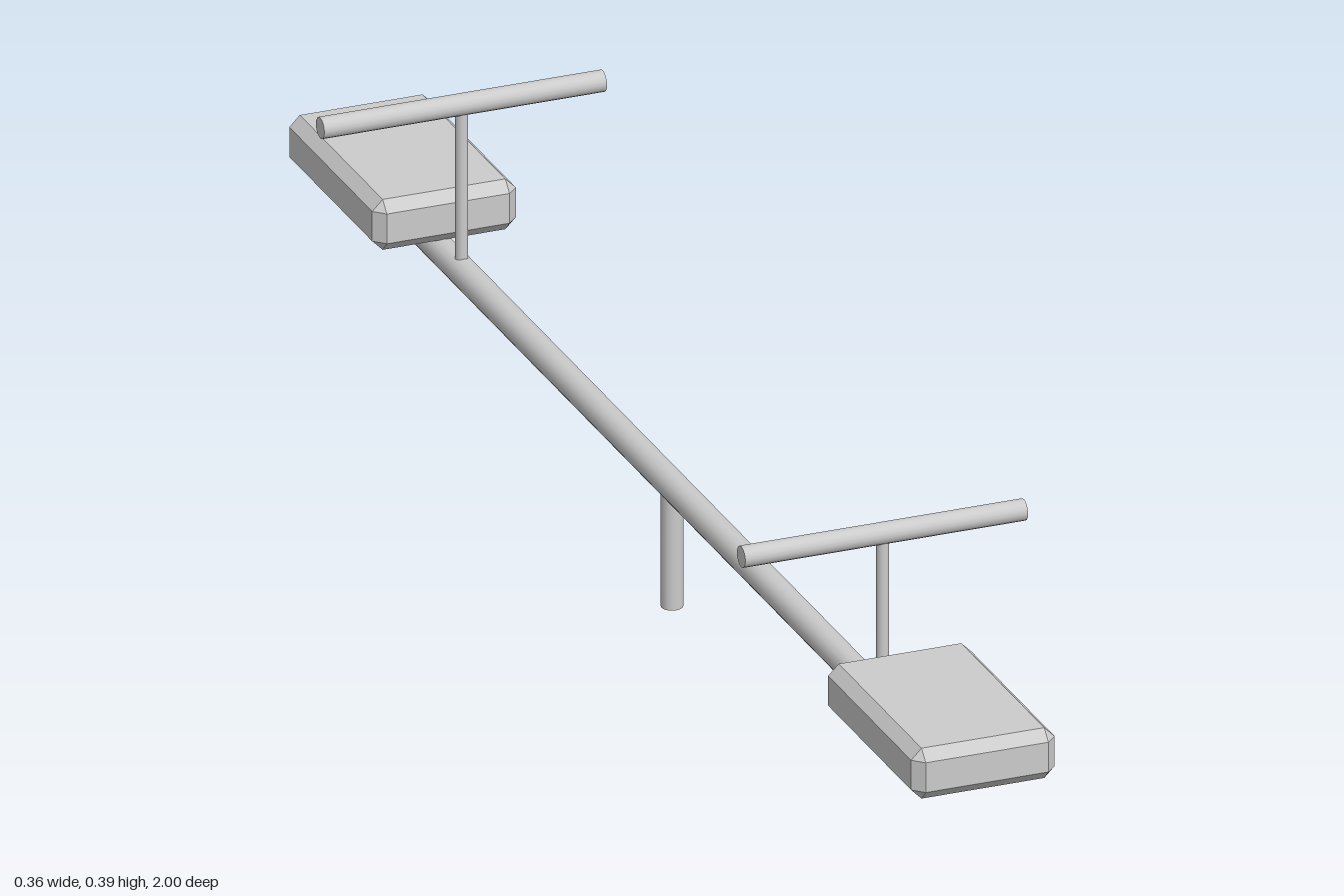
import * as THREE from 'three';
import { ConvexGeometry } from 'three/addons/geometries/ConvexGeometry.js';

const material = new THREE.MeshStandardMaterial({ color: 0xcccccc });

function addMesh(parent, name, geometry, x, y, z) {
  const mesh = new THREE.Mesh(geometry, material);
  mesh.name = name;
  mesh.position.set(x, y, z);
  parent.add(mesh);
  return mesh;
}

const rod = (radius, length, sides = 16) => new THREE.CylinderGeometry(radius, radius, length, sides);

// Box with every edge and corner chamfered: three points per corner
function chamferedBox(width, height, depth, bevel) {
  const points = [];
  for (const sx of [-1, 1]) for (const sy of [-1, 1]) for (const sz of [-1, 1]) {
    for (let axis = 0; axis < 3; axis++) {
      const half = [width / 2, height / 2, depth / 2].map((h, i) => (i === axis ? h : h - bevel));
      points.push(new THREE.Vector3(sx * half[0], sy * half[1], sz * half[2]));
    }
  }
  return new ConvexGeometry(points);
}

export function createModel() {
  const model = new THREE.Group();
  model.name = 'seesaw';

  // Central support and long beam
  addMesh(model, 'post', rod(0.0135, 0.155), 0, 0.0775, 0);
  addMesh(model, 'beam', rod(0.018, 1.81), 0, 0.159, 0).rotation.x = Math.PI / 2;

  // Seat and T-shaped handle at each end
  for (const [side, name] of [[1, 'front'], [-1, 'back']]) {
    const end = new THREE.Group();
    end.name = name + 'End';
    addMesh(end, name + 'Seat', chamferedBox(0.185, 0.066, 0.29, 0.0135), 0, 0.209, side * 0.855);
    addMesh(end, name + 'HandleStem', rod(0.008, 0.21), 0, 0.27, side * 0.668);
    addMesh(end, name + 'HandleBar', rod(0.0135, 0.364), 0, 0.3765, side * 0.668).rotation.z = Math.PI / 2;
    model.add(end);
  }
  return model;
}
